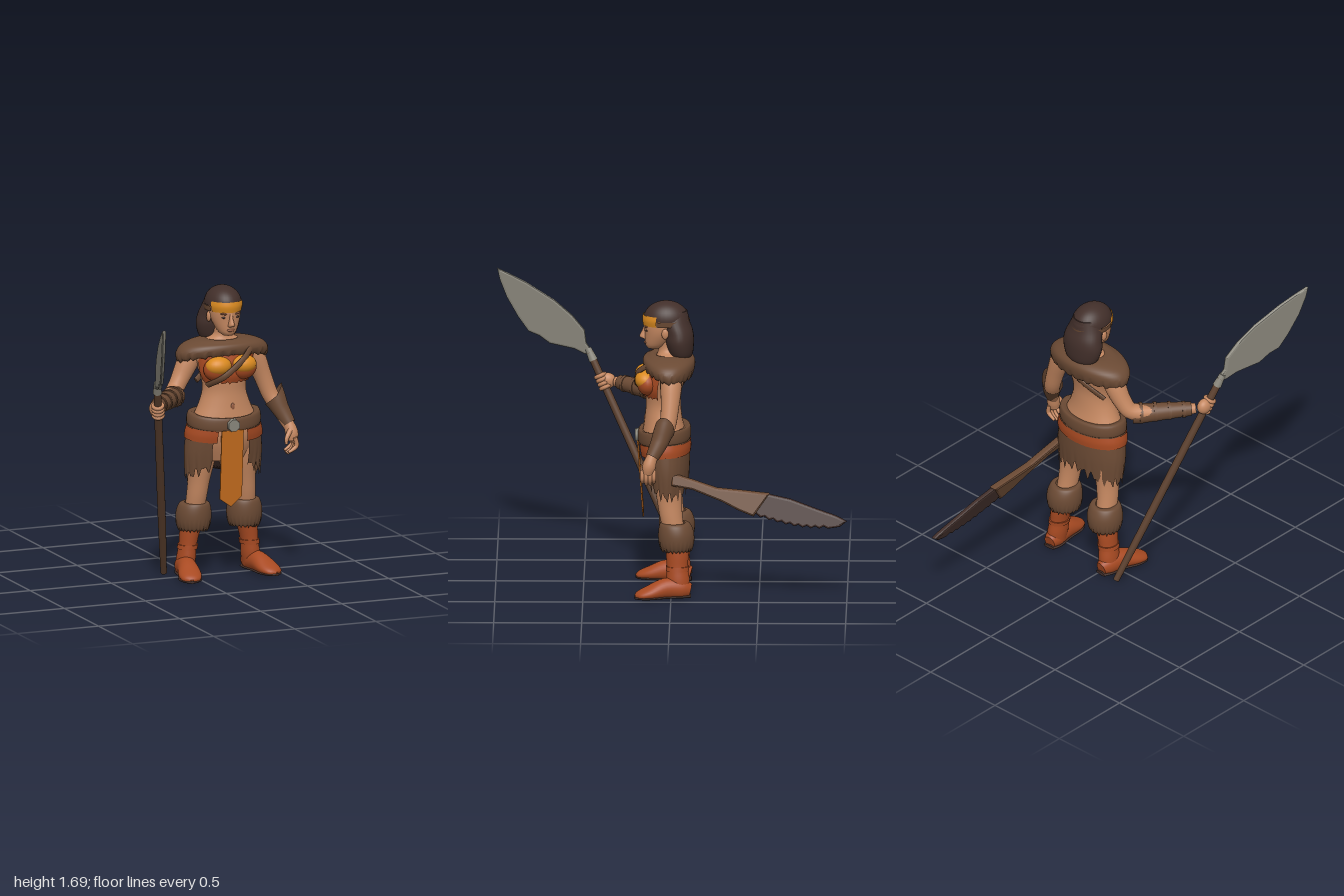
import * as THREE from 'three';

const mat = (name, color) => {
  const m = new THREE.MeshStandardMaterial({ color, side: THREE.DoubleSide });
  m.name = name;
  return m;
};
const V = (x, y, z) => new THREE.Vector3(x, y, z);

export function createModel() {
  const skin = mat('skin', 0xc48760), fur = mat('fur', 0x6b4a34), hair = mat('darkBrown', 0x422f2a);
  const gold = mat('gold', 0xda8a20), cloth = mat('orangeCloth', 0xc46c1e), rust = mat('rustLeather', 0xa84a22);
  const metal = mat('metal', 0x88857a), wood = mat('wood', 0x5c402e), lip = mat('darkSkin', 0x965c40);
  const g = new THREE.Group();
  const CX = 0.175; // body centre line

  const add = (name, geo, m) => {
    const mesh = new THREE.Mesh(geo, m);
    mesh.name = name;
    g.add(mesh);
    return mesh;
  };
  const ball = (name, m, pos, scale) => {
    const b = add(name, new THREE.SphereGeometry(1, 24, 16), m);
    b.position.set(...pos);
    b.scale.set(...scale);
    return b;
  };

  // Smoothly interpolates rows of numbers
  const sample = (rows, steps) => {
    const out = [], n = rows.length - 1;
    for (let k = 0; k <= n * steps; k++) {
      const i = Math.min(Math.floor(k / steps), n - 1), t = k / steps - i;
      const [a, b, c, d] = [-1, 0, 1, 2].map(o => rows[Math.max(0, Math.min(n, i + o))]);
      out.push(b.map((_, j) => 0.5 * (2 * b[j] + (c[j] - a[j]) * t +
        (2 * a[j] - 5 * b[j] + 4 * c[j] - d[j]) * t * t + (3 * b[j] - a[j] - 3 * c[j] + d[j]) * t * t * t)));
    }
    return out;
  };

  // Skin over elliptical rings [x, y, z, rx, rz]; level rings, or square to the path when perp is set
  const loft = (name, m, rows, o = {}) => {
    const { perp = false, ref = V(0, 0, 1), n = 32, steps = 4, arc = null, caps = true, warp } = o;
    const s = sample(rows, steps), rings = [];
    s.forEach((r, k) => {
      const p = s[Math.max(0, k - 1)], q = s[Math.min(s.length - 1, k + 1)];
      const T = perp ? V(q[0] - p[0], q[1] - p[1], q[2] - p[2]).normalize() : V(0, 1, 0);
      const B = ref.clone().addScaledVector(T, -ref.dot(T)).normalize(), N = T.clone().cross(B);
      const ring = [];
      for (let i = 0; i < (arc ? n + 1 : n); i++) {
        const a = arc ? arc[0] + (arc[1] - arc[0]) * i / n : i / n * Math.PI * 2;
        const v = V(r[0], r[1], r[2]).addScaledVector(N, Math.sin(a) * r[3]).addScaledVector(B, Math.cos(a) * r[4]);
        if (warp) warp(v, a, k / (s.length - 1));
        ring.push(v);
      }
      rings.push(ring);
    });
    if (caps && !arc) {
      const mid = ring => ring.map(() => ring.reduce((c, v) => c.add(v), V(0, 0, 0)).divideScalar(n));
      const a = rings[0], b = rings[rings.length - 1];
      rings.unshift(mid(a), a);
      rings.push(b, mid(b));
    }
    const w = rings[0].length, idx = [];
    for (let j = 0; j < rings.length - 1; j++) for (let i = 0; i < (arc ? w - 1 : w); i++) {
      const a = j * w + i, b = j * w + (i + 1) % w;
      idx.push(a, b, b + w, a, b + w, a + w);
    }
    const geo = new THREE.BufferGeometry().setFromPoints(rings.flat());
    geo.setIndex(idx);
    geo.computeVertexNormals();
    return add(name, geo, m);
  };
  const body = rows => rows.map(([y, rx, rz, z]) => [CX, y, z, rx, rz]);
  const jag = a => 0.6 * Math.sin(a * 23) + 0.4 * Math.sin(a * 37 + 1);
  const front = a => Math.max(0, Math.cos(a));

  // Torso and neck
  loft('torso', skin, body([[0.68, 0.14, 0.09, 0.03], [0.8, 0.21, 0.125, 0.035], [0.9, 0.2, 0.125, 0.04],
    [1.0, 0.155, 0.108, 0.045], [1.08, 0.13, 0.1, 0.045], [1.15, 0.135, 0.102, 0.045], [1.24, 0.165, 0.112, 0.035],
    [1.31, 0.2, 0.105, 0.015], [1.36, 0.13, 0.08, 0.01], [1.4, 0.058, 0.055, 0.02], [1.46, 0.052, 0.052, 0.03]]));
  ball('navel', lip, [CX + 0.01, 1.0, 0.151], [0.012, 0.02, 0.006]);

  // Head and face
  loft('head', skin, body([[1.41, 0.03, 0.035, 0.1], [1.435, 0.055, 0.062, 0.087], [1.5, 0.083, 0.09, 0.062],
    [1.56, 0.09, 0.105, 0.05], [1.62, 0.085, 0.1, 0.04], [1.66, 0.05, 0.06, 0.04]]));
  loft('nose', skin, [[CX, 1.465, 0.15, 0.018, 0.012], [CX, 1.478, 0.155, 0.018, 0.027], [CX, 1.51, 0.15, 0.011, 0.018],
    [CX, 1.545, 0.145, 0.01, 0.01]]);
  ball('lips', lip, [CX, 1.444, 0.146], [0.024, 0.009, 0.01]);
  for (const s of [-1, 1]) {
    ball('eye', hair, [CX + s * 0.038, 1.519, 0.141], [0.016, 0.006, 0.006]);
    ball('brow', lip, [CX + s * 0.038, 1.54, 0.143], [0.024, 0.006, 0.009]).rotation.z = s * 0.15;
    ball('ear', skin, [CX + s * 0.09, 1.51, 0.035], [0.012, 0.03, 0.02]);
  }

  // Hair and headband
  const dome = add('hairCap', new THREE.SphereGeometry(1, 32, 12, 0, Math.PI * 2, 0, Math.PI / 2), hair);
  dome.scale.set(0.104, 0.105, 0.13);
  dome.position.set(CX, 1.58, 0.03);
  loft('backHair', hair, body([[1.34, 0.05, 0.03, -0.06], [1.375, 0.105, 0.065, -0.055], [1.45, 0.13, 0.082, -0.046],
    [1.51, 0.122, 0.083, -0.04], [1.57, 0.102, 0.085, -0.018], [1.63, 0.08, 0.09, 0]]));
  const bandRows = body([[1.548, 0.099, 0.127, 0.034], [1.58, 0.106, 0.133, 0.033], [1.608, 0.103, 0.13, 0.031]]);
  loft('headbandFront', gold, bandRows, { arc: [-1.15, 1.15] });
  loft('headbandBack', fur, body([[1.55, 0.105, 0.13, 0.03], [1.58, 0.108, 0.135, 0.03]]), { arc: [1.15, Math.PI * 2 - 1.15] });

  // Fur mantle
  loft('mantle', fur, body([[1.29, 0.2, 0.11, 0.015], [1.255, 0.262, 0.128, 0.015], [1.3, 0.278, 0.147, 0.015],
    [1.345, 0.248, 0.145, 0.012], [1.372, 0.18, 0.118, 0.012], [1.38, 0.1, 0.085, 0.015], [1.36, 0.055, 0.05, 0.02]]), {
    n: 96, caps: false,
    warp: (v, a, t) => {
      v.y += Math.max(0, 1 - t * 1.6) * 0.055 * front(a) + (t < 0.35 ? 0.01 * jag(a) : 0);
    }
  });

  // Bandeau and diagonal strap
  loft('bandeau', rust, body([[1.14, 0.142, 0.115, 0.045], [1.2, 0.168, 0.135, 0.04], [1.3, 0.178, 0.122, 0.03]]),
    { arc: [-1.3, 1.3], warp: (v, a, t) => { if (t === 0) v.y += 0.01 * jag(a); } });
  for (const s of [-1, 1]) {
    ball('cupLining', rust, [CX + s * 0.078, 1.222, 0.135], [0.083, 0.07, 0.06]);
    ball('cup', gold, [CX + s * 0.077, 1.242, 0.148], [0.077, 0.055, 0.06]);
  }
  const strap = (name, pts) => loft(name, fur, pts.map(p => [...p, 0.018, 0.008]), { perp: true, n: 10 });
  strap('strapFront', [[0.04, 1.13, 0.12], [0.1, 1.18, 0.197], [0.17, 1.23, 0.202], [0.24, 1.285, 0.19], [0.3, 1.33, 0.14]]);
  strap('strapBack', [[0.3, 1.32, -0.075], [0.17, 1.23, -0.08], [0.03, 1.13, -0.02]]);

  // Skirt, sash, belt, buckle and loincloth
  loft('skirt', fur, body([[0.64, 0.226, 0.122, 0.025], [0.75, 0.234, 0.135, 0.03], [0.9, 0.212, 0.145, 0.04]]), {
    n: 140, arc: [0.5, Math.PI * 2 - 0.5],
    warp: (v, a, t) => { v.y += (1 - t) ** 2 * (0.035 * jag(a) - 0.06 * Math.abs(Math.sin(a)) + 0.05 * front(a)); }
  });
  loft('sash', rust, body([[0.815, 0.234, 0.145, 0.035], [0.85, 0.232, 0.15, 0.037], [0.885, 0.222, 0.15, 0.04]]),
    { arc: [0.4, Math.PI * 2 - 0.4], warp: (v, a) => { v.y -= 0.02 * front(a); } });
  loft('belt', fur, body([[0.9, 0.2, 0.13, 0.04], [0.89, 0.218, 0.148, 0.04], [0.93, 0.221, 0.152, 0.04],
    [0.965, 0.208, 0.144, 0.04], [0.955, 0.17, 0.11, 0.04]]),
    { n: 48, caps: false, warp: (v, a) => { v.y -= 0.025 * front(a); } });
  add('buckle', new THREE.CylinderGeometry(0.036, 0.04, 0.02, 8).rotateY(Math.PI / 8).rotateX(Math.PI / 2), metal)
    .position.set(0.172, 0.9, 0.196);
  const flap = new THREE.Shape([[0.1, 0.87], [0.1, 0.47], [0.17, 0.42], [0.235, 0.48], [0.235, 0.87]].map(p => new THREE.Vector2(...p)));
  const flapGeo = new THREE.ExtrudeGeometry(flap, { depth: 0.008, bevelEnabled: false });
  const fp = flapGeo.attributes.position;
  for (let i = 0; i < fp.count; i++) fp.setZ(i, fp.getZ(i) + 0.155 + 0.07 * (fp.getY(i) - 0.42));
  flapGeo.computeVertexNormals();
  add('loincloth', flapGeo, cloth);

  // Legs, fur cuffs and boots
  for (const s of [-1, 1]) {
    const side = rows => rows.map(([dx, ...r]) => [CX + s * dx, ...r]);
    loft('leg', skin, side([[0.157, 0.36, -0.02, 0.055, 0.06], [0.15, 0.46, 0, 0.058, 0.065], [0.14, 0.56, 0.01, 0.062, 0.072],
      [0.128, 0.67, 0.015, 0.077, 0.088], [0.108, 0.8, 0.02, 0.09, 0.1]]));
    loft('furCuff', fur, side([[0.157, 0.3, -0.03, 0.055, 0.055], [0.157, 0.268, -0.03, 0.082, 0.082], [0.157, 0.31, -0.03, 0.1, 0.1],
      [0.156, 0.37, -0.028, 0.101, 0.101], [0.154, 0.42, -0.022, 0.085, 0.085], [0.154, 0.425, -0.02, 0.055, 0.06]]),
      { n: 72, caps: false, warp: (v, a, t) => { if (t < 0.5) v.y += 0.012 * jag(a); } });
    loft('bootShaft', rust, side([[0.205, 0.03, -0.045, 0.05, 0.06], [0.198, 0.1, -0.04, 0.054, 0.066], [0.19, 0.17, -0.036, 0.05, 0.06],
      [0.18, 0.24, -0.035, 0.056, 0.064], [0.165, 0.32, -0.03, 0.064, 0.066]]));
    loft('bootTie', rust, side([[0.192, 0.155, -0.036, 0.057, 0.066], [0.188, 0.18, -0.036, 0.057, 0.066]]));
    loft('bootFoot', rust, side([[0.2, 0.04, -0.108, 0.035, 0.04], [0.205, 0.05, -0.06, 0.053, 0.06], [0.22, 0.055, 0.03, 0.057, 0.06],
      [0.24, 0.035, 0.12, 0.066, 0.04], [0.255, 0.022, 0.18, 0.05, 0.024], [0.262, 0.018, 0.203, 0.012, 0.008]]),
      { perp: true, ref: V(0, 1, 0), warp: v => { v.y = Math.max(v.y, 0.012); } });
    loft('bootSole', hair, side([[0.2, 0.01, -0.112, 0.038, 0.01], [0.205, 0.01, -0.06, 0.052, 0.01], [0.22, 0.01, 0.03, 0.052, 0.01],
      [0.24, 0.01, 0.12, 0.067, 0.01], [0.255, 0.01, 0.18, 0.051, 0.01], [0.262, 0.01, 0.205, 0.012, 0.008]]),
      { perp: true, ref: V(0, 1, 0) });
  }

  // Tapered round limb through points [x, y, z, radius]
  const limb = (name, m, pts, o = {}) => loft(name, m, pts.map(([x, y, z, r]) => [x, y, z, r, r]), { perp: true, n: 20, ...o });

  // Right arm holding the spear
  limb('rightArm', skin, [[0, 1.31, 0, 0.06], [-0.035, 1.24, 0, 0.062], [-0.085, 1.15, 0.01, 0.052], [-0.135, 1.09, 0.04, 0.048],
    [-0.23, 1.075, 0.16, 0.045], [-0.36, 1.08, 0.32, 0.03]]);
  limb('rightBracer', fur, [[-0.125, 1.07, 0.05, 0.06], [-0.17, 1.07, 0.095, 0.056], [-0.25, 1.075, 0.19, 0.05], [-0.345, 1.08, 0.3, 0.04]],
    { n: 40, warp: (v, a, t) => { if (t === 0) v.y += 0.012 * jag(a); } });
  for (let i = 0; i < 4; i++) {
    const t = i / 3, c = [-0.15 - 0.16 * t, 1.072 + 0.006 * t, 0.075 + 0.185 * t], r = 0.062 - 0.014 * t;
    limb('bracerWrap', fur, [[...c, r], [c[0] - 0.012, c[1], c[2] + 0.014, r]]);
  }
  ball('rightHand', skin, [-0.382, 1.08, 0.37], [0.036, 0.046, 0.048]);

  // Left arm hanging at the side
  limb('leftArm', skin, [[0.35, 1.31, 0, 0.06], [0.385, 1.24, 0, 0.062], [0.43, 1.13, 0.005, 0.052], [0.47, 1.02, 0.02, 0.047],
    [0.51, 0.94, 0.06, 0.043], [0.548, 0.84, 0.11, 0.028]]);
  limb('leftBracer', fur, [[0.552, 0.86, 0.105, 0.038], [0.53, 0.91, 0.078, 0.046], [0.5, 0.975, 0.047, 0.056], [0.485, 1.0, 0.035, 0.06]],
    { n: 40, caps: false, warp: (v, a, t) => { v.y += Math.max(0, t - 0.5) * 1.9 * Math.max(0, v.x - 0.48); } });
  limb('leftPalm', skin, [[0.548, 0.87, 0.105, 0.028], [0.56, 0.81, 0.122, 0.038], [0.56, 0.765, 0.13, 0.03]]);
  for (let i = 0; i < 4; i++) {
    const z = 0.095 + i * 0.022, d = Math.abs(i - 1.5) * 0.01;
    limb('finger', skin, [[0.565, 0.79, z, 0.013], [0.575, 0.745, z, 0.013], [0.56, 0.71 + d, z, 0.012], [0.525, 0.69 + d, z, 0.008]], { n: 10 });
  }
  limb('thumb', skin, [[0.545, 0.83, 0.14, 0.016], [0.515, 0.79, 0.16, 0.013], [0.51, 0.755, 0.165, 0.008]], { n: 10 });

  // Spear shaft and the fingers round it
  const butt = V(-0.135, 0.01, -0.1), neck = V(-0.415, 1.235, 0.47);
  const along = (t, r) => [...butt.clone().lerp(neck, t).toArray(), r];
  limb('spearShaft', wood, [along(0, 0.018), along(0.3, 0.023), along(0.7, 0.023), along(1, 0.021)]);
  const dir = neck.clone().sub(butt).normalize();
  for (let i = 0; i < 4; i++) {
    const f = add('gripFinger', new THREE.TorusGeometry(0.027, 0.012, 8, 20), skin);
    f.position.copy(butt.clone().lerp(neck, 0.845 + i * 0.017));
    f.quaternion.setFromUnitVectors(V(0, 0, 1), dir);
  }
  limb('spearSocket', metal, [along(0.965, 0.026), along(1.02, 0.018)]);

  // Upright plates drawn as [z, y], leaning sideways by the rule xAt
  const plate = (name, m, pts, thick, xAt) => {
    const shape = new THREE.Shape(pts.map(([z, y]) => new THREE.Vector2(-z, y)));
    const geo = new THREE.ExtrudeGeometry(shape, { depth: thick * 0.3, bevelThickness: thick * 0.35, bevelSize: 0.012, bevelOffset: -0.012, bevelSegments: 2 });
    geo.translate(0, 0, -thick * 0.15).rotateY(Math.PI / 2);
    const p = geo.attributes.position;
    for (let i = 0; i < p.count; i++) p.setX(i, p.getX(i) + xAt(p.getZ(i), p.getY(i)));
    geo.computeVertexNormals();
    return add(name, geo, m);
  };
  plate('spearBlade', metal, [[0.44, 1.22], [0.5, 1.225], [0.56, 1.25], [0.7, 1.27], [0.76, 1.31], [0.82, 1.33], [0.88, 1.41], [0.945, 1.52],
    [0.985, 1.62], [1, 1.685], [0.92, 1.655], [0.83, 1.615], [0.67, 1.525], [0.57, 1.445], [0.5, 1.365], [0.49, 1.29]], 0.024,
    z => -0.41 - 0.185 * (z - 0.45) / 0.55);

  // Toothed blade slung from the left hip
  const lean = (z, y) => 0.395 + (0.63 - y) * 0.32;
  const teeth = [];
  for (let i = 0; i <= 18; i++) {
    const z = -0.46 - i * 0.024, y = 0.5 - 0.075 * Math.sin(Math.min(1, i / 16) * Math.PI / 2);
    teeth.push([z, y + (i % 2 ? 0.012 : 0)]);
  }
  plate('hipBlade', hair, [[-0.54, 0.615], ...teeth, [-0.96, 0.435], [-1, 0.465], [-0.94, 0.495], [-0.82, 0.535], [-0.68, 0.585]], 0.036, lean);
  plate('hipBladeHandle', fur, [[0, 0.725], [0, 0.655], [-0.12, 0.635], [-0.29, 0.57], [-0.38, 0.525], [-0.47, 0.49], [-0.56, 0.615],
    [-0.4, 0.632], [-0.26, 0.645], [-0.12, 0.69]], 0.055, lean);
  return g;
}
